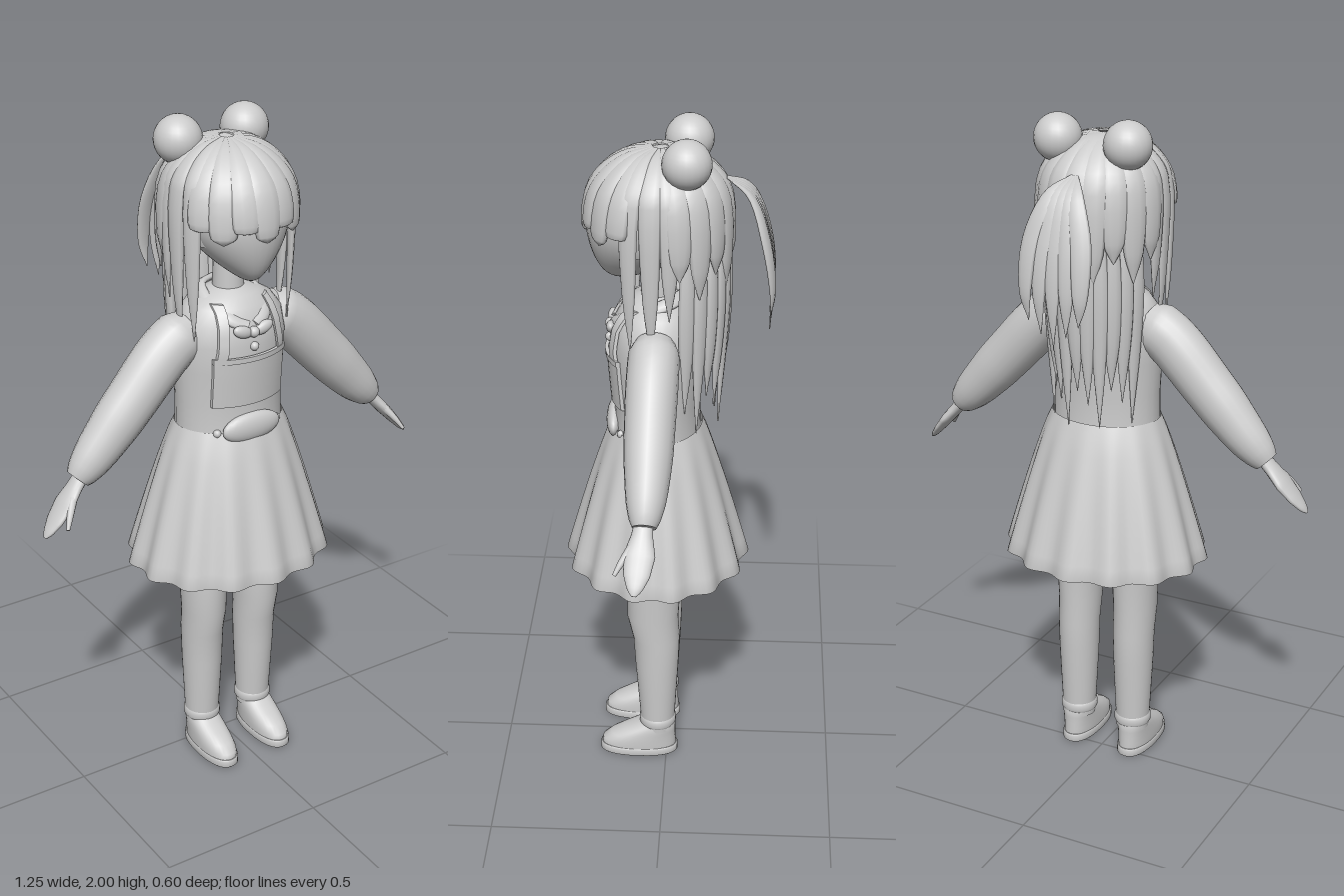
import * as THREE from 'three';

const V = (x, y, z) => new THREE.Vector3(x, y, z);
const clay = new THREE.MeshStandardMaterial({ color: 0xcccccc, side: THREE.DoubleSide });
clay.name = 'light grey';

function add(parent, name, geometry, pos) {
  const m = new THREE.Mesh(geometry, clay);
  m.name = name;
  if (pos) m.position.set(...pos);
  parent.add(m);
  return m;
}

// Skin over closed rings of equal point count, optionally capped
function loft(rings, caps = true) {
  const n = rings[0].length, p = [], idx = [];
  rings.forEach(r => r.forEach(v => p.push(v.x, v.y, v.z)));
  for (let i = 0; i < rings.length - 1; i++) for (let j = 0; j < n; j++) {
    const a = i * n + j, b = i * n + (j + 1) % n;
    idx.push(a, b, b + n, a, b + n, a + n);
  }
  if (caps) [0, rings.length - 1].forEach((r, end) => {
    const c = rings[r].reduce((s, v) => s.add(v), V(0, 0, 0)).divideScalar(n);
    const base = p.length / 3;
    rings[r].forEach(v => p.push(v.x, v.y, v.z));
    p.push(c.x, c.y, c.z);
    for (let j = 0; j < n; j++) {
      const a = base + j, b = base + (j + 1) % n;
      end ? idx.push(a, b, base + n) : idx.push(b, a, base + n);
    }
  });
  const g = new THREE.BufferGeometry();
  g.setAttribute('position', new THREE.Float32BufferAttribute(p, 3));
  g.setIndex(idx);
  g.computeVertexNormals();
  return g;
}

// Horizontal oval ring; pw below 1 makes it boxier
function oval(cx, y, cz, rx, rz, pw = 1, n = 32) {
  const q = v => Math.sign(v) * Math.abs(v) ** pw;
  return Array.from({ length: n }, (_, j) => {
    const a = j / n * Math.PI * 2;
    return V(cx + rx * q(Math.sin(a)), y, cz + rz * q(Math.cos(a)));
  });
}

// Oval section swept on a curve; size(t) gives [half width, half thickness]
function sweep(points, size, outward, steps = 16, n = 10) {
  const curve = new THREE.CatmullRomCurve3(points), rings = [];
  for (let i = 0; i <= steps; i++) {
    const t = i / steps, c = curve.getPoint(t), T = curve.getTangent(t);
    const N = outward(c).clone();
    N.addScaledVector(T, -N.dot(T)).normalize();
    const B = N.clone().cross(T), [w, h] = size(t);
    rings.push(Array.from({ length: n }, (_, j) => {
      const a = j / n * Math.PI * 2;
      return c.clone().addScaledVector(B, w * Math.cos(a)).addScaledVector(N, h * Math.sin(a));
    }));
  }
  return loft(rings);
}

// Linear lookup in rows that start with an ascending key
function sample(rows, k) {
  let i = 0;
  while (i < rows.length - 2 && k > rows[i + 1][0]) i++;
  const f = THREE.MathUtils.clamp((k - rows[i][0]) / (rows[i + 1][0] - rows[i][0]), 0, 1);
  return rows[i].slice(1).map((v, j) => v + (rows[i + 1][j + 1] - v) * f);
}

// Torso stations: y, half width, half depth
const TORSO = [[1.05, .165, .13], [1.12, .163, .125], [1.2, .163, .122], [1.3, .168, .13], [1.38, .17, .135],
  [1.44, .16, .122], [1.48, .13, .1], [1.505, .09, .075], [1.52, .045, .045]];
const frontZ = (x, y) => {
  const [rx, rz] = sample(TORSO, y);
  return .03 + rz * Math.sqrt(Math.max(.05, 1 - (x / rx) ** 2));
};

// Thin cloth plate that follows the chest
function plate(w, h, cx, cy, slant = 0, lift = .006) {
  const g = new THREE.BoxGeometry(w, h, .01, 12, 8, 1), p = g.attributes.position;
  for (let i = 0; i < p.count; i++) {
    const y = p.getY(i) + cy, x = p.getX(i) + cx + slant * (y - cy);
    p.setXYZ(i, x, y, p.getZ(i) + frontZ(x, y) + lift);
  }
  g.computeVertexNormals();
  return g;
}

// Lock profile: narrow root, widest at peak, pointed tip
const lockSize = (w, h, peak) => t => {
  const s = t < peak ? .12 + .88 * Math.sin(t / peak * Math.PI / 2)
    : Math.max(.02, 1 - ((t - peak) / (1 - peak)) ** 1.8);
  return [w * s, h * Math.max(.15, s)];
};
const hairOut = c => V(c.x, Math.max(0, c.y - 1.74), c.z - .02);

// Path from the crown over the skull and down to tipY
function hairPath(phi, tipY, start = 6, pull = 1, size = 1) {
  const rz = Math.cos(phi) > 0 ? .205 : .195, pts = [];
  const at = (s, y) => V(.182 * size * s * Math.sin(phi), y, .02 + rz * size * s * Math.cos(phi));
  for (let d = start; d < 85; d += 20) {
    const a = THREE.MathUtils.degToRad(d);
    pts.push(at(Math.sin(a), 1.745 + .2 * Math.cos(a)));
  }
  pts.push(at((1 + pull) / 2, (1.745 + tipY) / 2), at(pull, tipY));
  return pts;
}

function buildHair(root) {
  const hair = new THREE.Group();
  hair.name = 'hair';
  root.add(hair);
  const rad = THREE.MathUtils.degToRad;
  const cap = new THREE.SphereGeometry(1, 32, 20, 0, Math.PI * 2, 0, Math.PI * .62);
  cap.scale(.172, .2, .175);
  add(hair, 'hairCap', cap, [0, 1.745, -.01]);
  // Fringe
  [-56, -38, -19, 0, 19, 38, 56].forEach((d, i) =>
    add(hair, 'fringeLock', sweep(hairPath(rad(d), i % 2 ? 1.7 : 1.735, 6, .99), lockSize(.044, .017, .68), hairOut)));
  // Long locks framing the face
  for (const s of [-1, 1]) [[66, 1.4, .92, .034], [84, 1.38, .88, .036], [100, 1.5, .92, .034]].forEach(([d, y, pull, w]) =>
    add(hair, 'sideLock', sweep(hairPath(rad(d * s), y, 6, pull), lockSize(w, .016, .5), hairOut, 20)));
  // Upper back layer
  for (let i = 0; i < 9; i++)
    add(hair, 'backLock', sweep(hairPath(rad(108 + i * 18), i % 2 ? 1.56 : 1.62, 6, .98), lockSize(.042, .018, .62), hairOut));
  // Long lower back layer
  for (let i = 0; i < 11; i++) {
    const a = rad(112 + i * 13.6), x = Math.sin(a), z = Math.cos(a);
    const tip = [1.2, 1.13, 1.24][i % 3];
    const pts = [[1.78, .15], [1.6, .155], [1.4, .15], [tip, .14]].map(([y, r]) => V(r * x * .95, y, r * z * 1.1 + .005));
    add(hair, 'longBackLock', sweep(pts, lockSize(.027, .016, .5), hairOut, 18));
  }
  // Buns
  for (const s of [-1, 1]) add(hair, 'bun', new THREE.SphereGeometry(.068, 24, 18), [s * .107, 1.932, -.055]);
  // Fanned ponytail
  [-2, -1, 0, 1, 2].forEach(k => {
    const x = k * .038, end = 1.41 + Math.abs(k) * .035;
    const pts = [V(x * .1, 1.86, -.16), V(x * .5, 1.82, -.225), V(x, 1.7, -.27), V(x * 1.1, 1.56, -.291), V(x, end, -.286)];
    add(hair, 'ponytailLock', sweep(pts, lockSize(.03, .011, .5), () => V(x * 3, .2, -1), 18));
  });
}

function buildHead(root) {
  const g = new THREE.SphereGeometry(1, 40, 28), p = g.attributes.position;
  for (let i = 0; i < p.count; i++) {
    const x = p.getX(i), y = p.getY(i), z = p.getZ(i), low = Math.min(0, y) ** 2;
    p.setXYZ(i, x * .145 * (1 - .5 * low), 1.745 + y * .18, .05 + z * .177 * (1 - .25 * low) + .08 * low);
  }
  g.computeVertexNormals();
  add(root, 'head', g);
  add(root, 'neck', new THREE.CylinderGeometry(.042, .046, .17, 24), [0, 1.56, .03]);
}

function buildDress(root) {
  add(root, 'torso', loft(TORSO.map(([y, rx, rz]) => oval(0, y, .03, rx, rz))));
  // Fluted skirt with an inside face
  const ring = (t, inset) => oval(0, 1.12 - .44 * t, .03, 1, 1, 1, 112).map((v, j) => {
    const a = j / 112 * Math.PI * 2, f = t ** .85, wave = .011 * t * Math.cos(a * 14) - inset;
    return V(v.x * (.165 + .137 * f + wave), v.y, .03 + (v.z - .03) * (.13 + .131 * f + wave));
  });
  const ts = Array.from({ length: 11 }, (_, i) => i / 10);
  add(root, 'skirt', loft([...ts.map(t => ring(t, .01)), ...ts.reverse().map(t => ring(t, 0))], false));
  // Bib, straps, waist pocket and fastenings
  add(root, 'bib', plate(.23, .15, 0, 1.275));
  add(root, 'bibHem', plate(.235, .016, 0, 1.345, 0, .01));
  const pocket = new THREE.SphereGeometry(1, 24, 16);
  pocket.scale(.095, .045, .025);
  add(root, 'waistPocket', pocket, [0, 1.125, .152]);
  for (const s of [-1, 1]) {
    add(root, 'strap', plate(.026, .16, s * .088, 1.415, -s * .12, .008));
    add(root, 'waistButton', new THREE.SphereGeometry(.012, 12, 8), [s * .1, 1.117, frontZ(.1, 1.117)]);
    const loop = new THREE.SphereGeometry(1, 16, 12);
    loop.scale(.032, .018, .014);
    loop.rotateZ(s * .35);
    add(root, 'bowLoop', loop, [s * .034, 1.425, .158]);
    // Collar half
    const pts = [V(0, 1.515, -.05), V(s * .07, 1.515, -.01), V(s * .085, 1.49, .06), V(s * .06, 1.46, .125), V(s * .012, 1.435, .15)];
    add(root, 'collar', sweep(pts, () => [.02, .01], c => V(c.x, .12, c.z - .03)));
  }
  add(root, 'bowKnot', new THREE.SphereGeometry(.016, 14, 10), [0, 1.42, .162]);
  add(root, 'button', new THREE.SphereGeometry(.013, 14, 10), [0, 1.378, .165]);
}

function buildLimbs(root, s) {
  const side = new THREE.Group();
  side.name = s > 0 ? 'leftLimbs' : 'rightLimbs';
  root.add(side);
  const forward = () => V(0, 0, 1);
  // Sleeve and cuff
  const sleeve = [[0, .06], [.12, .078], [.35, .079], [.6, .074], [.85, .058], [.95, .047], [1, .036]];
  add(side, 'sleeve', sweep([V(s * .125, 1.415, .03), V(s * .2, 1.37, .032), V(s * .32, 1.245, .035), V(s * .43, 1.125, .037), V(s * .502, 1.05, .04)],
    t => { const r = sample(sleeve, t)[0]; return [r, r * .92]; }, forward, 24, 20));
  // Mitten hand and thumb
  const hand = [[0, .02, .024], [.25, .018, .03], [.5, .017, .043], [.75, .013, .036], [.93, .009, .02], [1, .003, .006]];
  add(side, 'hand', sweep([V(s * .48, 1.07, .04), V(s * .55, .992, .05), V(s * .622, .908, .062)],
    t => sample(hand, t), forward, 20, 16));
  add(side, 'thumb', sweep([V(s * .535, 1.01, .07), V(s * .56, .975, .098), V(s * .578, .945, .117)],
    t => [.013 * (1 - .6 * t), .014 * (1 - .6 * t)], forward, 8));
  // Leg stations: y, half width, half depth, centre z
  const leg = [[.09, .05, .05, .027], [.2, .055, .057, .028], [.32, .06, .065, .029], [.42, .062, .07, .03],
    [.5, .064, .077, .041], [.6, .068, .079, .037], [.7, .072, .08, .034], [.9, .074, .08, .03]];
  add(side, 'leg', loft(leg.map(([y, rx, rz, cz]) => oval(s * .093, y, cz, rx, rz))));
  add(side, 'sockCuff', loft([[.105, .052], [.112, .056], [.128, .056], [.135, .052]].map(([y, r]) => oval(s * .093, y, .027, r, r))));
  add(side, 'shorts', loft([[.715, .076], [.72, .086], [.8, .086], [1, .075]].map(([y, r]) => oval(s * .09, y, .03, r, r + .01))));
  // Shoe
  add(side, 'sole', loft([[.002, .049], [.006, .053], [.024, .053], [.028, .049]].map(([y, r]) => oval(s * .095, y, .085, r, r + .067, .85))));
  const shoe = [[.026, .05, .114, .085], [.045, .051, .113, .084], [.065, .05, .1, .072], [.085, .049, .08, .052],
    [.1, .047, .064, .036], [.112, .044, .052, .028]];
  add(side, 'shoe', loft(shoe.map(([y, rx, rz, cz]) => oval(s * .095, y, cz, rx, rz, .88))));
}

export function createModel() {
  const root = new THREE.Group();
  root.name = 'girl';
  buildHead(root);
  buildHair(root);
  buildDress(root);
  for (const s of [1, -1]) buildLimbs(root, s);
  return root;
}
